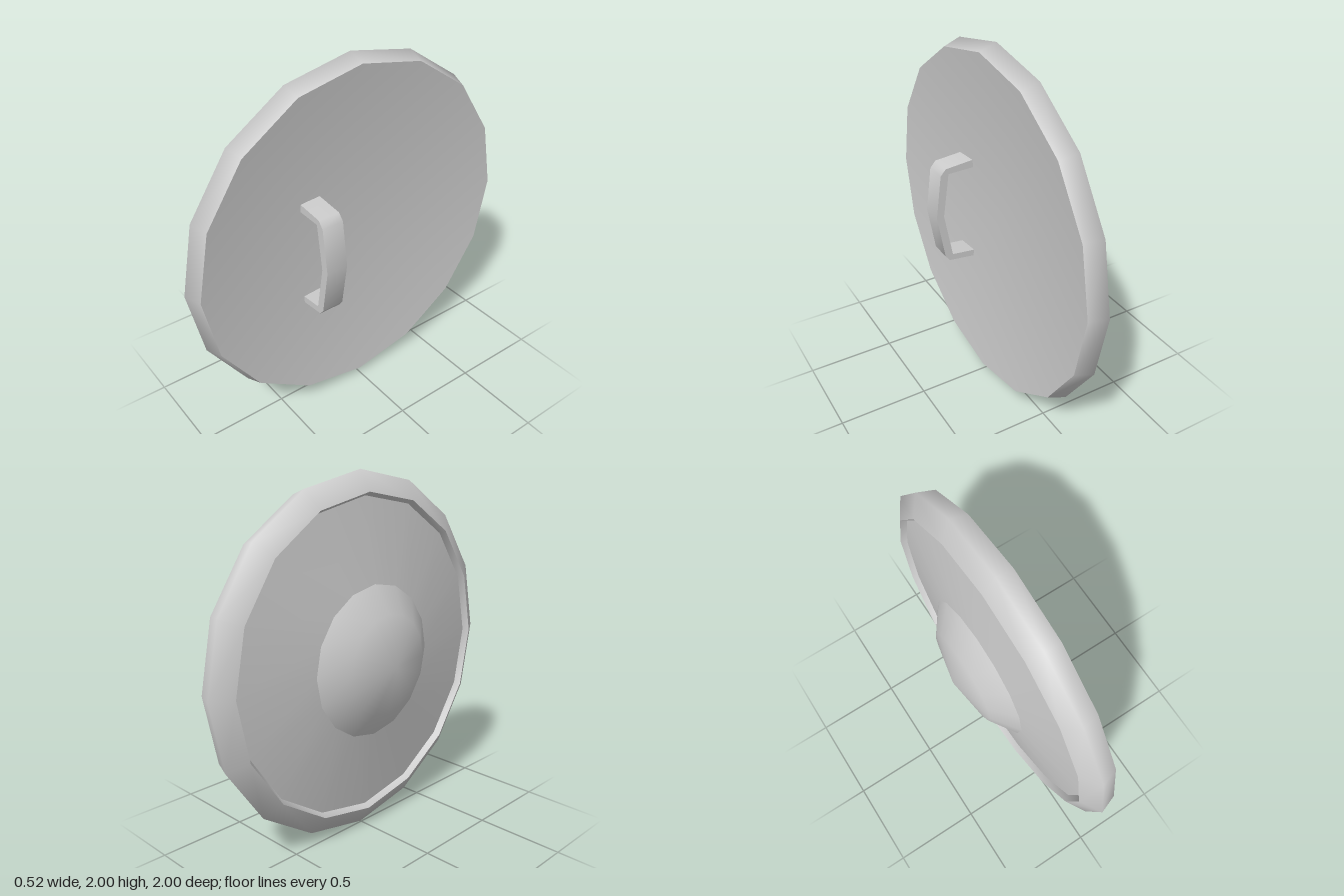
import * as THREE from 'three';
import { mergeVertices, toCreasedNormals } from 'three/addons/utils/BufferGeometryUtils.js';

const SIDES = 16;

export function createModel() {
  const model = new THREE.Group();
  const material = new THREE.MeshStandardMaterial({ color: 0xcccccc });

  // Round part turned about the x axis; profile is [radius, x], with smooth shared normals
  function disc(name, profile) {
    const points = profile.map(([r, x]) => new THREE.Vector2(r, x));
    const lathe = new THREE.LatheGeometry(points, SIDES);
    lathe.deleteAttribute('uv');
    lathe.deleteAttribute('normal');
    const geometry = mergeVertices(lathe);
    geometry.computeVertexNormals();
    geometry.rotateZ(-Math.PI / 2);
    const mesh = new THREE.Mesh(geometry, material);
    mesh.name = name;
    mesh.position.y = 1;
    model.add(mesh);
  }

  // Separate profiles keep the creases between the parts sharp
  disc('boss', [[0, -0.263], [0.275, -0.203], [0.42, -0.1]]);
  disc('shieldFace', [[0.42, -0.1], [0.87, -0.03]]);
  disc('rimInnerWall', [[0.87, -0.03], [0.89, -0.062]]);
  disc('rim', [[0.89, -0.062], [1, 0.006], [0.965, 0.103]]);
  // Back is a shallow hollow cone
  disc('backPlate', [[0.965, 0.103], [0, -0.01]]);

  // Bent strap handle, its feet set into the hollow back, offset to one side
  const strap = new THREE.Shape([
    [0.02, 1.29], [0.197, 1.273], [0.229, 1.236], [0.262, 0.985],
    [0.218, 0.722], [0.192, 0.688], [0.02, 0.668],
    [0.02, 0.706], [0.171, 0.722], [0.218, 0.985], [0.181, 1.24], [0.02, 1.244],
  ].map(([x, y]) => new THREE.Vector2(x, y)));
  const handle = new THREE.Mesh(
    toCreasedNormals(new THREE.ExtrudeGeometry(strap, { depth: 0.124, bevelEnabled: false }), 0.85),
    material
  );
  handle.name = 'handle';
  handle.position.z = 0.216;
  model.add(handle);

  return model;
}
